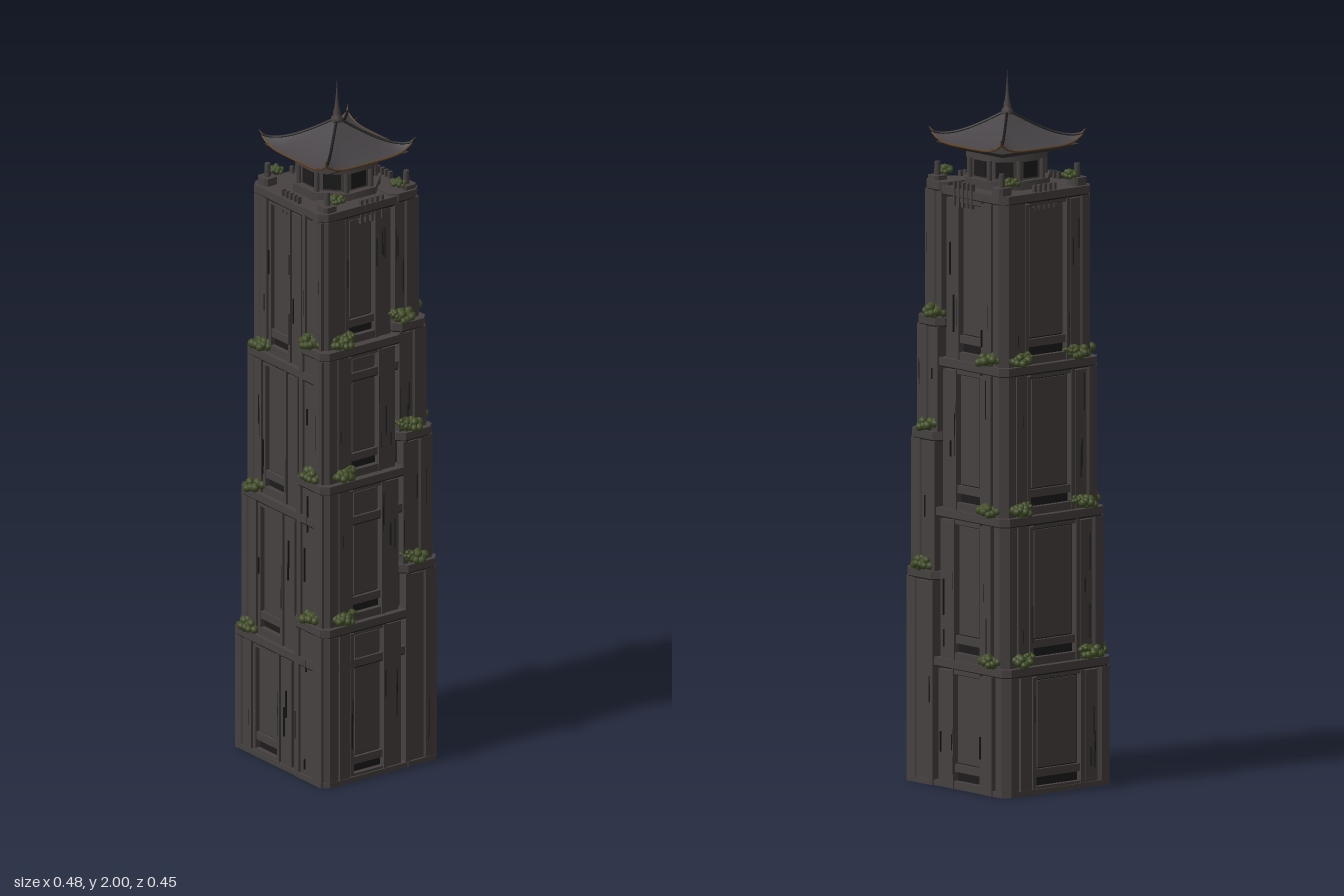
import * as THREE from 'three';
import { mergeGeometries } from 'three/addons/utils/BufferGeometryUtils.js';

const mat = (name, color) => Object.assign(new THREE.MeshStandardMaterial({ color }), { name });
const M = {
  stone: mat('stone', 0x474141),
  recess: mat('recessed stone', 0x3b3636),
  seam: mat('dark seam', 0x1d1b1b),
  tile: mat('roof tile', 0x474346),
  bronze: mat('bronze trim', 0x5e4326),
  leaf: mat('foliage', 0x414d27),
};
M.tile.side = THREE.DoubleSide;

let seed = 7;
const rnd = () => (seed = (seed * 16807) % 2147483647) / 2147483647;

// Vertical block with chamfered plan corners
function prism(x0, x1, z0, z1, y0, y1, c) {
  const s = new THREE.Shape([
    [x0 + c, -z1], [x1 - c, -z1], [x1, -z1 + c], [x1, -z0 - c],
    [x1 - c, -z0], [x0 + c, -z0], [x0, -z0 - c], [x0, -z1 + c],
  ].map(p => new THREE.Vector2(...p)));
  const g = new THREE.ExtrudeGeometry(s, { depth: y1 - y0, bevelEnabled: false });
  return g.rotateX(-Math.PI / 2).translate(0, y0, 0);
}

// Slab on one side: 0 front, 1 right (+x), 2 back, 3 left; u runs along the wall, d is its outer face
function slab(side, u0, u1, y0, y1, d, t) {
  return new THREE.BoxGeometry(u1 - u0, y1 - y0, t)
    .translate((u0 + u1) / 2, (y0 + y1) / 2, d - t / 2).rotateY(side * Math.PI / 2);
}

// Outer wall distances for the four tiers
const TIERS = [
  { xl: 0.218, xr: 0.212, zf: 0.203, zb: 0.194 },
  { xl: 0.202, xr: 0.200, zf: 0.194, zb: 0.187 },
  { xl: 0.187, xr: 0.184, zf: 0.184, zb: 0.177 },
  { xl: 0.172, xr: 0.164, zf: 0.172, zb: 0.165 },
];
// Three nested columns whose setbacks climb around the tower
const COLUMNS = [
  { name: 'mainColumn', tops: [0.36, 0.78, 1.2, 1.68], grow: 0,
    ext: t => [-t.xl, t.xr - 0.004, -t.zb + 0.004, t.zf],
    walls: t => [[0, -t.xl, 0.058], [3, -t.zb, t.zf], [2, -0.075, t.xl]],
    corners: [[-1, 1], [-1, -1]] },
  { name: 'frontRightColumn', tops: [0.47, 0.89, 1.28, 1.685], grow: 0.002,
    ext: t => [0.06, t.xr, -0.1, t.zf],
    walls: t => [[0, 0.06, t.xr], [1, -t.zf, 0.068]],
    corners: [[1, 1]] },
  { name: 'backRightColumn', tops: [0.6, 0.99, 1.31, 1.69], grow: 0.003,
    ext: t => [0.08, t.xr, -t.zb, -0.07],
    walls: t => [[1, 0.07, t.zb], [2, -t.xr, -0.08]],
    corners: [[1, -1]] },
];

function createColumn(col, addTo) {
  const stone = [], recess = [], seams = [];
  TIERS.forEach((t, i) => {
    const y0 = i ? col.tops[i - 1] : 0, y1 = col.tops[i], g = col.grow, IN = 0.02;
    const [x0, x1, z0, z1] = col.ext(t);
    recess.push(prism(x0 + IN, x1 - IN, z0 + IN, z1 - IN, y0, y1 - 0.01, 0.008));
    // Ledge and plinth bands
    stone.push(prism(x0 - g, x1 + g, z0 - g, z1 + g, y1 - 0.022, y1, 0.02));
    seams.push(prism(x0 - g + 0.002, x1 + g - 0.002, z0 - g + 0.002, z1 + g - 0.002, y1 - 0.026, y1 - 0.021, 0.02));
    if (!i) stone.push(prism(x0 - g, x1 + g, z0 - g, z1 + g, 0, 0.015, 0.02));
    // Corner piers
    for (const [sx, sz] of col.corners) {
      const px = sx < 0 ? [x0, x0 + 0.065] : [x1 - 0.065, x1];
      const pz = sz < 0 ? [z0, z0 + 0.065] : [z1 - 0.065, z1];
      stone.push(prism(px[0] - g / 2, px[1] + g / 2, pz[0] - g / 2, pz[1] + g / 2, y0, y1 - 0.025, 0.02));
    }
    // Ribs, tall recessed panel and seams on each outer wall
    for (const [side, a, b] of col.walls(t)) {
      const d = [t.zf, t.xr, t.zb, t.xl][side] + g / 2 - 0.001, L = b - a, wide = L > 0.2;
      const flip = side === 2;
      const at = f => a + L * f;
      const span = (f0, f1) => flip ? [at(1 - f1), at(1 - f0)] : [at(f0), at(f1)];
      const top = y1 - 0.025;
      const ribs = side === 3 ? [[0.15, 0.25], [0.265, 0.3], [0.7, 0.735], [0.75, 0.86]]
        : wide ? [[0.2, 0.33], [0.345, 0.39], [0.76, 0.8], [0.815, 0.99]]
        : [[0.08, 0.22], [0.245, 0.62], [0.64, 0.92]];
      ribs.forEach(([f0, f1], k) => {
        const [u0, u1] = span(f0, f1);
        stone.push(slab(side, u0, u1, y0, top - (k % 2) * 0.006, d - (k % 2) * 0.004, 0.03));
      });
      for (let k = 0; k < ribs.length - 1; k++) {
        if (ribs[k + 1][0] - ribs[k][1] > 0.1) continue;
        const [u0, u1] = span(ribs[k][1], ribs[k + 1][0]);
        seams.push(slab(side, u0, u1, y0, top, d - 0.01, 0.008));
      }
      if (wide) {
        const [f0, f1] = side === 3 ? [0.3, 0.7] : [0.39, 0.76];
        const [u0, u1] = span(f0, f1), low = y0 + 0.07;
        seams.push(slab(side, u0, u1, y0, low - 0.02, d - 0.018, 0.004));
        stone.push(slab(side, u0, u1, low - 0.022, low, d - 0.006, 0.02));
        stone.push(slab(side, u0, u1, y0, y0 + 0.022, d - 0.003, 0.02));
        seams.push(slab(side, u0 + 0.006, u1 - 0.006, low, top - 0.012, d - 0.016, 0.004));
        stone.push(slab(side, u0 + 0.009, u1 - 0.009, low + 0.004, top - 0.017, d - 0.011, 0.008));
        stone.push(slab(side, u0, u1, top - 0.012, top, d - 0.004, 0.02));
      }
      // Weathered cracks
      for (let k = 0; k < (wide ? 5 : 3); k++) {
        const [f0, f1] = ribs[Math.floor(rnd() * ribs.length)];
        const [u0, u1] = span(f0, f1), u = u0 + (u1 - u0) * (0.2 + 0.6 * rnd());
        const y = y0 + 0.03 + rnd() * (top - y0 - 0.15), h = 0.03 + rnd() * 0.08;
        seams.push(slab(side, u - 0.001, u + 0.001, y, y + h, d + 0.001, 0.006));
      }
    }
  });
  addTo(col.name, stone, M.stone);
  addTo(col.name + 'Recesses', recess, M.recess);
  addTo(col.name + 'Seams', seams, M.seam);
}

// Square roof swept from rings, with upturned corners
const HALF = 0.148;
const roofY = (r, s) => 1.797 + 0.088 * Math.pow(1 - r, 1.3) + 0.026 * Math.pow(r, 4) * Math.pow(Math.abs(s), 5);
function roofGeometry() {
  const sides = [], nu = 16, nr = 10;
  for (let k = 0; k < 4; k++) {
    const g = new THREE.PlaneGeometry(1, 1, nu, nr), p = g.attributes.position;
    for (let i = 0; i < p.count; i++) {
      const s = p.getX(i) * 2, r = 0.5 - p.getY(i);
      p.setXYZ(i, s * r * HALF, roofY(r, s), r * HALF);
    }
    g.computeVertexNormals();
    sides.push(g.rotateY(k * Math.PI / 2));
  }
  return sides;
}

export function createModel() {
  const model = new THREE.Group();
  model.name = 'steppedTower';
  const addTo = (name, geos, material) => {
    const g = mergeGeometries(geos.map(q => (q.index ? q.toNonIndexed() : q)));
    const m = new THREE.Mesh(g, material);
    m.name = name;
    model.add(m);
  };
  COLUMNS.forEach(c => createColumn(c, addTo));

  // Rooftop pavilion with posts and parapet turrets
  const oct = (r, y0, y1) => new THREE.CylinderGeometry(r, r, y1 - y0, 8)
    .rotateY(Math.PI / 8).translate(0, (y0 + y1) / 2, 0);
  const pav = [oct(0.125, 1.67, 1.705), oct(0.105, 1.7, 1.765), oct(0.12, 1.762, 1.782)], dark = [];
  for (let k = 0; k < 8; k++) {
    const a = (k + 0.5) * Math.PI / 4;
    pav.push(new THREE.CylinderGeometry(0.008, 0.008, 0.08, 8).translate(0.109 * Math.sin(a), 1.735, 0.109 * Math.cos(a)));
    dark.push(new THREE.BoxGeometry(0.05, 0.045, 0.006).translate(0, 1.733, 0.097).rotateY(k * Math.PI / 4));
  }
  for (const sx of [-1, 1]) for (const sz of [-1, 1]) {
    const x = sx * 0.137, z = sz * 0.137;
    pav.push(prism(x - 0.022, x + 0.022, z - 0.022, z + 0.022, 1.68, 1.702, 0.007));
    pav.push(new THREE.CylinderGeometry(0.008, 0.01, 0.05, 8).translate(x, 1.715, z));
  }
  for (let k = 0; k < 4; k++) for (let j = -2; j <= 2; j++) {
    pav.push(slab(k, j * 0.018 - 0.004, j * 0.018 + 0.004, 1.63, 1.7, 0.164, 0.012));
  }
  addTo('pavilion', pav, M.stone);
  addTo('pavilionOpenings', dark, M.seam);

  // Roof, soffit, hips and finial
  addTo('roof', roofGeometry(), M.tile);
  addTo('soffit', [new THREE.CylinderGeometry(0.142 * Math.SQRT2, 0.115 * Math.SQRT2, 0.016, 4, 1)
    .rotateY(Math.PI / 4).translate(0, 1.787, 0)], M.recess);
  const eaves = [], hips = [], horns = [];
  for (let k = 0; k < 4; k++) {
    const edge = [], hip = [];
    for (let i = 0; i <= 12; i++) {
      const s = i / 6 - 1;
      edge.push(new THREE.Vector3(s * HALF, roofY(1, s) - 0.001, HALF));
      const r = i / 12;
      hip.push(new THREE.Vector3(r * HALF, roofY(r, 1) + 0.002, r * HALF));
    }
    const tube = (pts, rad) => new THREE.TubeGeometry(new THREE.CatmullRomCurve3(pts), 20, rad, 6).rotateY(k * Math.PI / 2);
    eaves.push(tube(edge, 0.003));
    hips.push(tube(hip, 0.004));
    horns.push(new THREE.ConeGeometry(0.004, 0.025, 6).rotateX(0.7).translate(0, 1.832, 0.213)
      .rotateY(Math.PI / 4 + k * Math.PI / 2));
    for (const s of [-0.8, 0.8]) horns.push(new THREE.ConeGeometry(0.0025, 0.02, 5).rotateX(1.2)
      .translate(s * HALF, roofY(1, s) + 0.002, HALF + 0.005).rotateY(k * Math.PI / 2));
  }
  addTo('eaveTrim', eaves, M.bronze);
  addTo('hipRidges', hips, M.seam);
  addTo('cornerHorns', horns, M.bronze);
  const fin = [[0.016, 1.875], [0.016, 1.888], [0.01, 1.894], [0.011, 1.902], [0.007, 1.915], [0.004, 1.94], [0.002, 1.97], [0, 2]];
  addTo('finial', [new THREE.LatheGeometry(fin.map(p => new THREE.Vector2(...p)), 8)], M.stone);

  // Bushes on every setback, one on each side of the corner
  const balls = [];
  for (let i = 0; i < 22; i++) {
    const a = i * 2.4, r = 0.031 * Math.sqrt((i + 0.5) / 22);
    balls.push(new THREE.SphereGeometry(0.009 + 0.005 * rnd(), 8, 6)
      .translate(r * Math.cos(a), (rnd() - 0.3) * 0.032 * (1.2 - r / 0.04), r * Math.sin(a)));
  }
  const bushGeo = mergeGeometries(balls);
  const bush = (x, y, z, s = 1) => {
    const m = new THREE.Mesh(bushGeo, M.leaf);
    m.name = 'bush';
    m.position.set(x, y, z);
    m.rotation.y = rnd() * 6;
    m.scale.setScalar(s);
    model.add(m);
  };
  COLUMNS.forEach(c => c.corners.forEach(([sx, sz]) => {
    for (let i = 0; i < 3; i++) {
      const t = TIERS[i], y = c.tops[i] + 0.013;
      const X = sx * ((sx < 0 ? t.xl : t.xr) - 0.016), Z = sz * ((sz < 0 ? t.zb : t.zf) - 0.012);
      bush(X, y, Z - sz * 0.06, 0.98);
      bush(X - sx * 0.055, y, Z, 0.98);
      bush(X - sx * 0.004, y + 0.012, Z - sz * 0.085, 0.6);
    }
    bush(sx * 0.142, 1.71, sz * 0.105, 0.62);
  }));
  return model;
}
